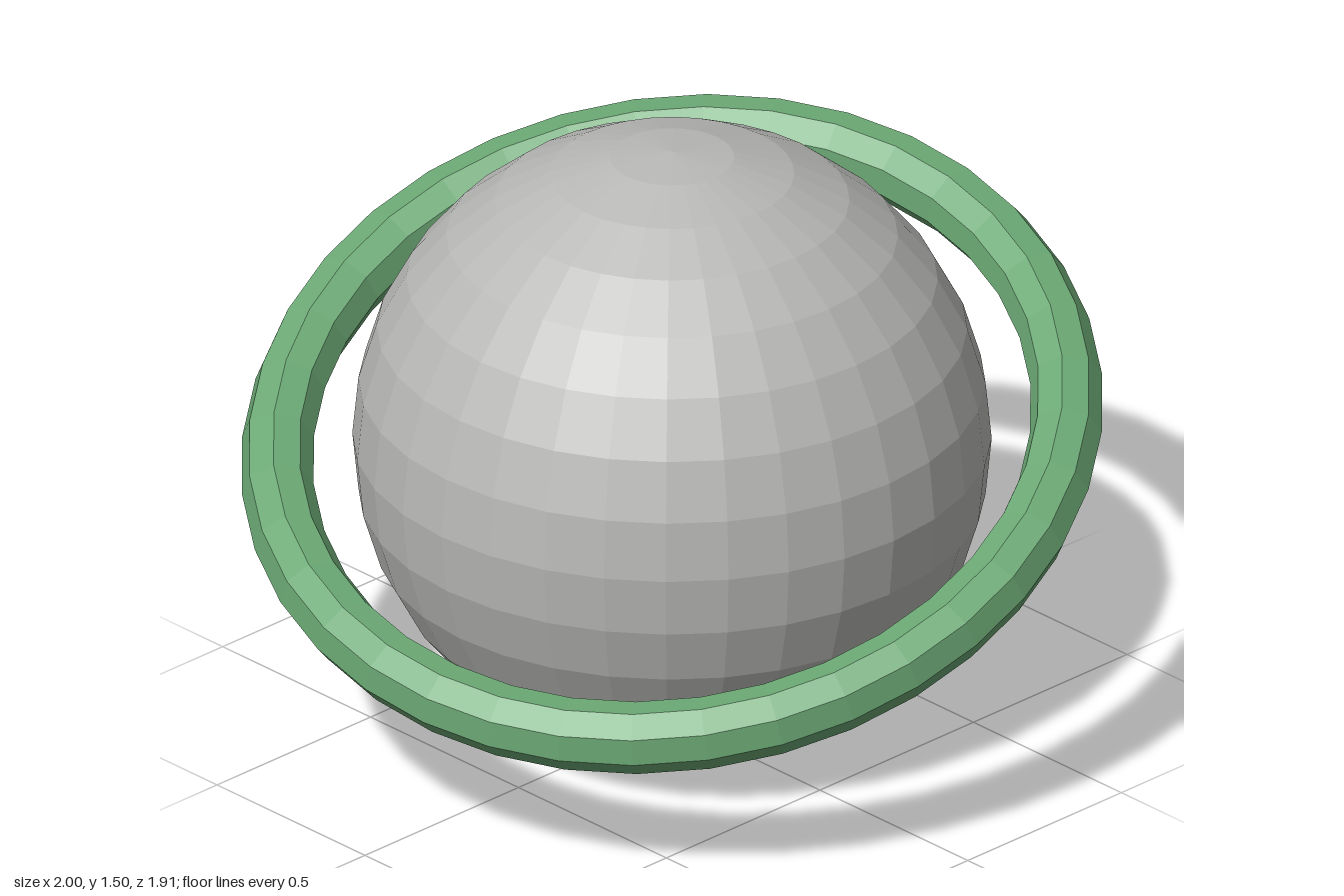
import * as THREE from 'three';

const RADIUS = 0.75;

export function createModel() {
  const group = new THREE.Group();
  group.name = 'ringedPlanet';

  const grey = new THREE.MeshStandardMaterial({ color: 0xb8b8b6, flatShading: true });
  grey.name = 'planet grey';
  const green = new THREE.MeshStandardMaterial({ color: 0x6ba874, flatShading: true });
  green.name = 'ring green';

  // Faceted globe resting on the ground
  const planet = new THREE.Mesh(new THREE.SphereGeometry(RADIUS, 32, 16), grey);
  planet.name = 'planet';
  planet.position.y = RADIUS;
  group.add(planet);

  // Tilted ring, low at the front left
  const ring = new THREE.Mesh(new THREE.TorusGeometry(0.934, 0.085, 8, 36), green);
  ring.name = 'ring';
  ring.position.y = RADIUS + 0.004;
  const axis = new THREE.Vector3(0.19, 0.92, 0.342).normalize();
  ring.quaternion.setFromUnitVectors(new THREE.Vector3(0, 0, 1), axis);
  group.add(ring);

  return group;
}
